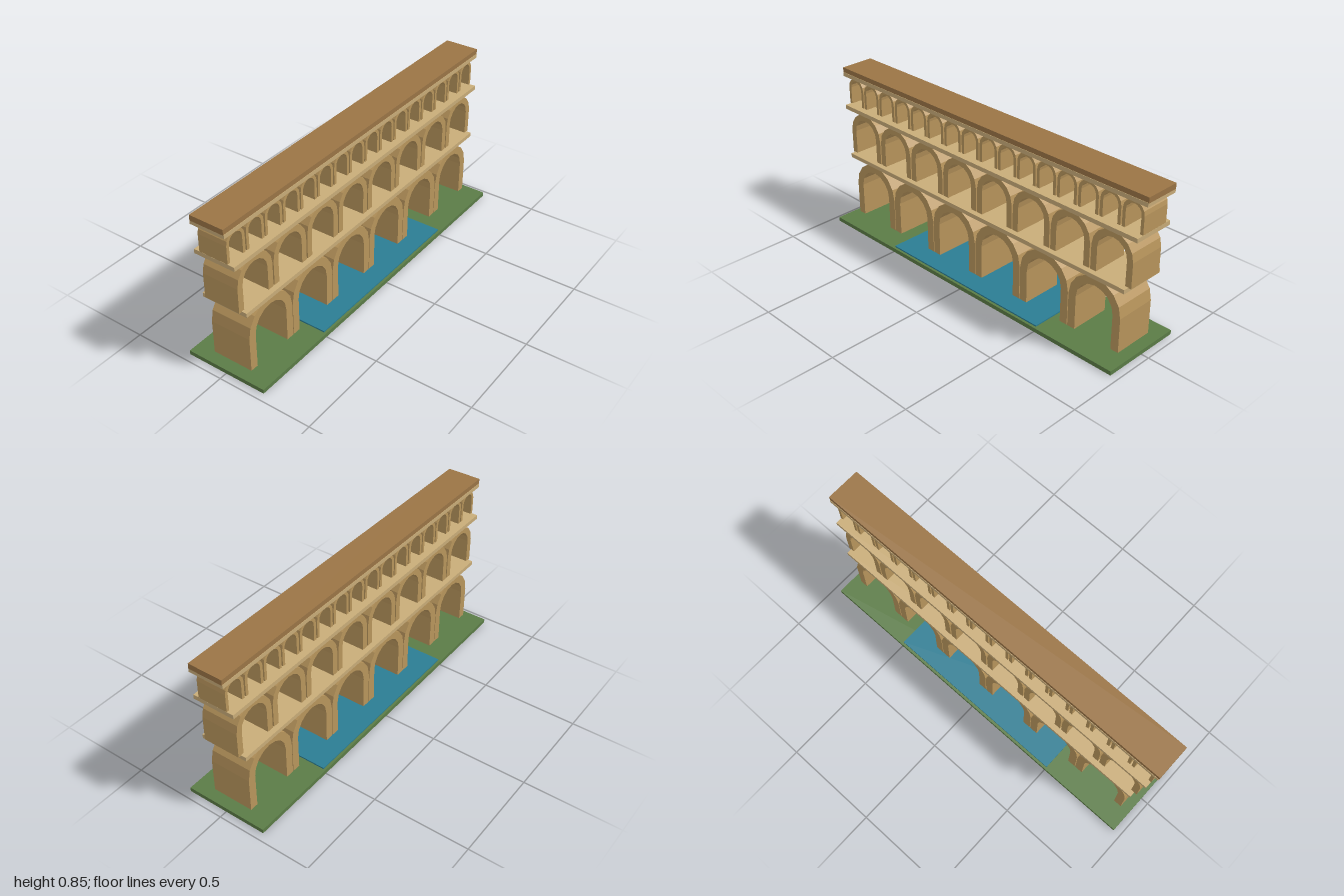
import * as THREE from 'three';

const STONE = new THREE.MeshStandardMaterial({ color: 0xb8955c });
const LEDGE = new THREE.MeshStandardMaterial({ color: 0xc8ac78 });
const CAP = new THREE.MeshStandardMaterial({ color: 0x9a7445 });
const GRASS = new THREE.MeshStandardMaterial({ color: 0x5b7c46 });
const WATER = new THREE.MeshStandardMaterial({ color: 0x2b7d93 });

// Box given by half width, half depth and its bottom and top heights
function slab(name, material, halfX, halfZ, y0, y1) {
  const mesh = new THREE.Mesh(new THREE.BoxGeometry(2 * halfX, y1 - y0, 2 * halfZ), material);
  mesh.position.y = (y0 + y1) / 2;
  mesh.name = name;
  return mesh;
}

// Round-headed arch with two straight legs, extruded along z
function archGeometry(outer, inner, height, halfZ) {
  const spring = height - outer;
  const shape = new THREE.Shape();
  shape.moveTo(outer, 0);
  shape.lineTo(outer, spring);
  shape.absarc(0, spring, outer, 0, Math.PI, false);
  shape.lineTo(-outer, 0);
  shape.lineTo(-inner, 0);
  shape.lineTo(-inner, spring);
  shape.absarc(0, spring, inner, Math.PI, 0, true);
  shape.lineTo(inner, 0);
  shape.closePath();
  const geometry = new THREE.ExtrudeGeometry(shape, {
    depth: 2 * halfZ, bevelEnabled: false, curveSegments: 4,
  });
  return geometry.translate(0, 0, -halfZ);
}

// Row of equal arches centred on x = 0
function arcade(name, { count, pitch, outer, inner, y0, y1, halfZ }) {
  const row = new THREE.Group();
  row.name = name;
  const geometry = archGeometry(outer, inner, y1 - y0, halfZ);
  for (let i = 0; i < count; i++) {
    const arch = new THREE.Mesh(geometry, STONE);
    arch.name = 'arch';
    arch.position.set((i - (count - 1) / 2) * pitch, y0, 0);
    row.add(arch);
  }
  return row;
}

export function createModel() {
  const model = new THREE.Group();
  model.name = 'aqueduct';

  // Ground and river
  model.add(slab('ground', GRASS, 0.96, 0.218, 0, 0.022));
  model.add(slab('river', WATER, 0.502, 0.205, 0.02, 0.029));

  // Three tiers of arches, smaller towards the top
  model.add(arcade('lowerArcade', {
    count: 6, pitch: 0.304, outer: 0.15, inner: 0.107, y0: 0.038, y1: 0.368, halfZ: 0.109,
  }));
  model.add(arcade('middleArcade', {
    count: 8, pitch: 0.238, outer: 0.115, inner: 0.082, y0: 0.387, y1: 0.633, halfZ: 0.097,
  }));
  model.add(arcade('upperArcade', {
    count: 16, pitch: 0.1223, outer: 0.057, inner: 0.041, y0: 0.658, y1: 0.806, halfZ: 0.078,
  }));

  // Ledges above each tier and the water channel on top
  model.add(slab('lowerLedge', LEDGE, 0.933, 0.125, 0.368, 0.39));
  model.add(slab('middleLedge', LEDGE, 0.972, 0.111, 0.633, 0.655));
  model.add(slab('upperLedge', LEDGE, 0.998, 0.093, 0.806, 0.827));
  model.add(slab('channel', CAP, 1, 0.091, 0.825, 0.853));

  return model;
}
